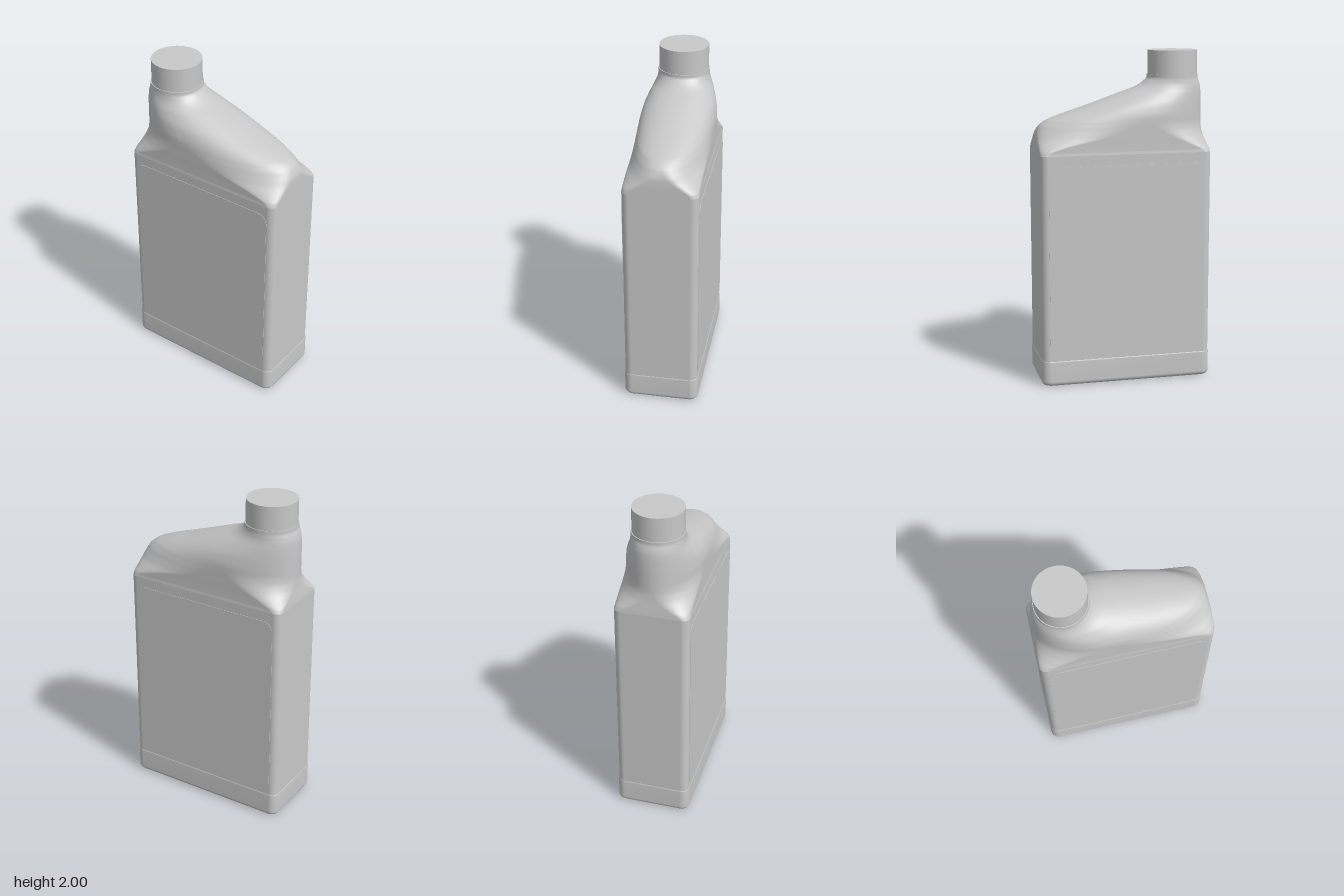
import * as THREE from 'three';

const ARC = 14; // segments per rounded corner

// Horizontal outline: half width, front z, back z, then corner reach
// (fraction of half width, length along z) for the front and the back.
function outline([y, w, zf, zb, fx, fz, bx, bz]) {
  const pts = [];
  const corner = (sx, front, start) => {
    const rx = (front ? fx : bx) * w, rz = front ? fz : bz;
    const cx = sx * (w - rx), cz = front ? zf - rz : zb + rz;
    for (let i = 0; i <= ARC; i++) {
      const a = start + (i / ARC) * Math.PI / 2;
      pts.push([cx + rx * Math.cos(a), y, cz + rz * Math.sin(a)]);
    }
  };
  corner(1, true, 0);
  corner(-1, true, Math.PI / 2);
  corner(-1, false, Math.PI);
  corner(1, false, Math.PI * 1.5);
  return pts;
}

// Skin a stack of outlines, optionally closing the bottom and top.
function loft(sections, closeBottom, closeTop) {
  const rings = sections.map(outline), n = rings[0].length;
  const pos = rings.flat(2), index = [];
  for (let i = 0; i < rings.length - 1; i++) {
    for (let j = 0; j < n; j++) {
      const a = i * n + j, b = i * n + (j + 1) % n;
      index.push(a, a + n, b, b, a + n, b + n);
    }
  }
  const lid = (ring, up) => {
    const start = pos.length / 3;
    ring.forEach((p) => pos.push(...p));
    pos.push(0, ring[0][1], (ring[0][2] + ring[2 * ARC + 2][2]) / 2);
    for (let j = 0; j < n; j++) {
      const a = start + j, b = start + (j + 1) % n;
      if (up) index.push(start + n, b, a);
      else index.push(start + n, a, b);
    }
  };
  if (closeBottom) lid(rings[0], false);
  if (closeTop) lid(rings[rings.length - 1], true);
  const geo = new THREE.BufferGeometry();
  geo.setAttribute('position', new THREE.Float32BufferAttribute(pos, 3));
  geo.setIndex(index);
  geo.computeVertexNormals();
  return geo;
}

// Smooth in-between sections without overshoot (monotone cubic on y).
function refine(keys, steps) {
  const slope = (i, c) => (keys[i + 1][c] - keys[i][c]) / (keys[i + 1][0] - keys[i][0]);
  const tangent = (i, c) => {
    if (i === 0) return slope(0, c);
    if (i === keys.length - 1) return slope(i - 1, c);
    const a = slope(i - 1, c), b = slope(i, c);
    return a * b <= 0 ? 0 : (2 * a * b) / (a + b);
  };
  const out = [];
  for (let i = 0; i < keys.length - 1; i++) {
    const h = keys[i + 1][0] - keys[i][0];
    for (let s = 0; s < steps; s++) {
      const t = s / steps, t2 = t * t, t3 = t2 * t;
      out.push(keys[i].map((v, c) => c === 0 ? v + h * t :
        v * (2 * t3 - 3 * t2 + 1) + keys[i + 1][c] * (3 * t2 - 2 * t3) +
        h * (tangent(i, c) * (t3 - 2 * t2 + t) + tangent(i + 1, c) * (t3 - t2))));
    }
  }
  out.push(keys[keys.length - 1]);
  return out;
}

// Plain rounded-rectangle section
const block = (y, w, d, r) => [y, w, d, -d, r / w, r, r / w, r];

function roundedRect(w, h, r) {
  const s = new THREE.Shape();
  s.absarc(w / 2 - r, h / 2 - r, r, 0, Math.PI / 2);
  s.absarc(-w / 2 + r, h / 2 - r, r, Math.PI / 2, Math.PI);
  s.absarc(-w / 2 + r, -h / 2 + r, r, Math.PI, Math.PI * 1.5);
  s.absarc(w / 2 - r, -h / 2 + r, r, Math.PI * 1.5, Math.PI * 2);
  return s;
}

export function createModel() {
  const group = new THREE.Group();
  group.name = 'bottle';
  const plastic = new THREE.MeshStandardMaterial({ color: 0xc8c8c8 });
  plastic.name = 'light grey plastic';
  const add = (name, geo) => {
    const mesh = new THREE.Mesh(geo, plastic);
    mesh.name = name;
    group.add(mesh);
    return mesh;
  };

  // Foot band with a rounded bottom edge
  const foot = [];
  for (let i = 0; i <= 6; i++) {
    const a = (i / 6) * Math.PI / 2, inset = 0.03 * (1 - Math.sin(a));
    foot.push(block(0.03 * (1 - Math.cos(a)), 0.228 - inset, 0.524 - inset, 0.05 - inset * 0.6));
  }
  foot.push(block(0.15, 0.228, 0.524, 0.05));
  foot.push(block(0.156, 0.224, 0.52, 0.046));
  add('foot', loft(foot, true, false));

  // Straight walls
  add('walls', loft([block(0.156, 0.224, 0.52, 0.046), block(1.4, 0.224, 0.52, 0.046)], false, false));

  // Sloping shoulder that gathers into the round neck at the back
  const shoulder = [
    [1.4, 0.224, 0.52, -0.52, 0.205, 0.046, 0.205, 0.046],
    [1.42, 0.222, 0.52, -0.518, 0.26, 0.07, 0.29, 0.07],
    [1.45, 0.222, 0.52, -0.514, 0.45, 0.17, 0.55, 0.13],
    [1.5, 0.223, 0.518, -0.508, 0.75, 0.4, 0.85, 0.24],
    [1.55, 0.224, 0.5, -0.505, 0.92, 0.52, 0.96, 0.32],
    [1.585, 0.225, 0.46, -0.505, 0.97, 0.56, 0.97, 0.35],
    [1.61, 0.225, 0.4, -0.505, 0.97, 0.54, 0.97, 0.35],
    [1.675, 0.213, 0.2, -0.505, 0.97, 0.38, 0.97, 0.31],
    [1.745, 0.183, 0, -0.503, 0.97, 0.27, 0.97, 0.22],
    [1.78, 0.166, -0.1, -0.5, 0.97, 0.21, 0.97, 0.18],
    [1.81, 0.157, -0.15, -0.493, 0.97, 0.175, 0.97, 0.16],
    [1.84, 0.154, -0.176, -0.484, 0.97, 0.152, 0.97, 0.152],
    [1.856, 0.154, -0.176, -0.484, 0.97, 0.152, 0.97, 0.152],
  ];
  add('shoulder', loft(refine(shoulder, 6), false, true));

  // Screw cap
  add('cap', new THREE.CylinderGeometry(0.15, 0.15, 0.15, 64)).position.set(0, 1.925, -0.33);

  // Label panels on both sides
  const panel = new THREE.ExtrudeGeometry(roundedRect(0.95, 1.16, 0.06),
    { depth: 0.004, bevelEnabled: false, curveSegments: 8 });
  for (const side of [1, -1]) {
    const mesh = add(side > 0 ? 'leftPanel' : 'rightPanel', panel);
    mesh.rotation.y = side * Math.PI / 2;
    mesh.position.set(side * 0.2225, 0.76, 0);
  }
  return group;
}
